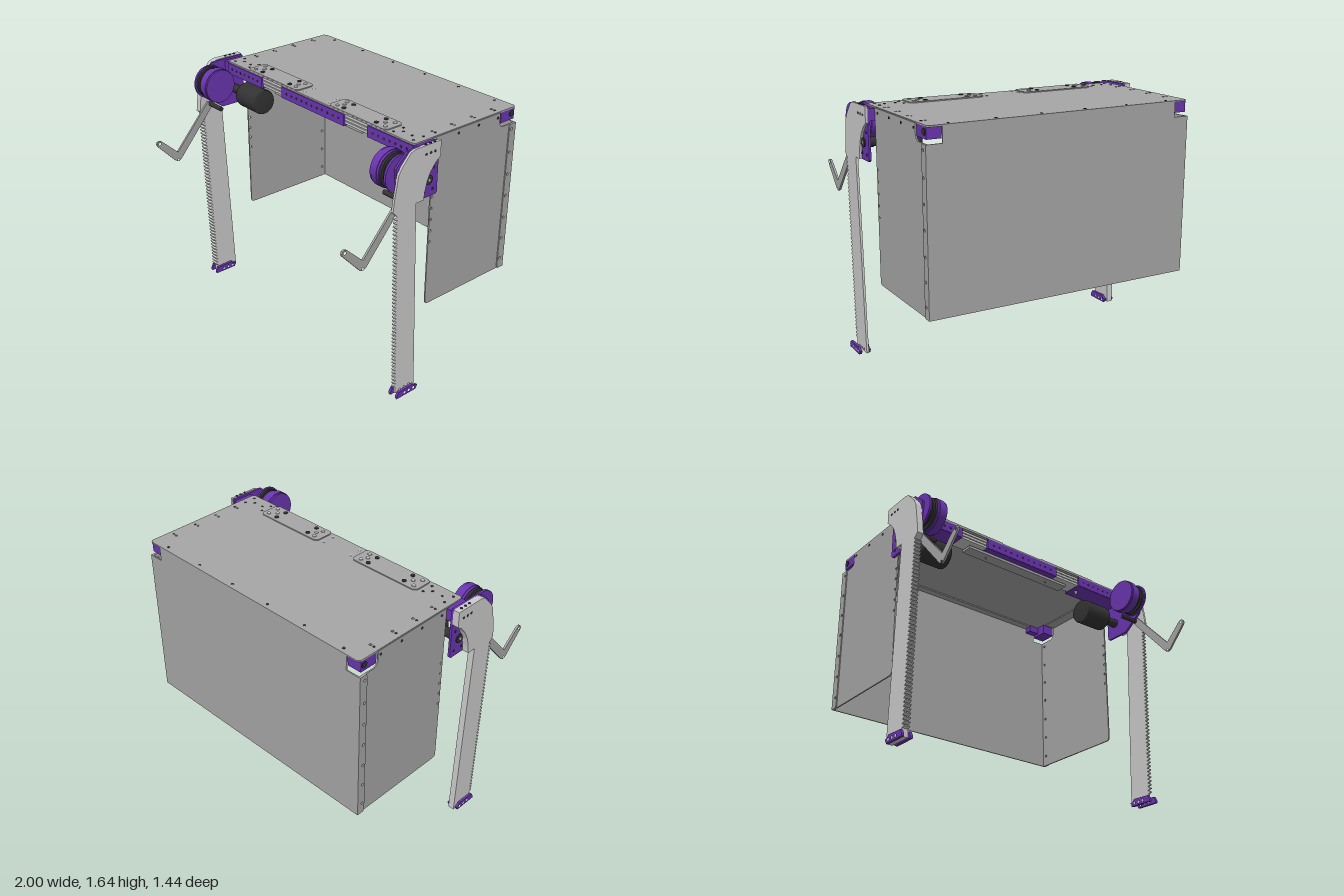
import * as THREE from 'three';

const mat = (color) => new THREE.MeshStandardMaterial({ color });
const GREY = mat(0xcccccc), SHEET = mat(0xa6a6a6), PURPLE = mat(0x6a35b0), BLACK = mat(0x333333);

// Closed outline from points, with optional round holes [u, v, r]
function outline(points, holes = []) {
  const shape = new THREE.Shape(points.map(([u, v]) => new THREE.Vector2(u, v)));
  for (const [u, v, r] of holes) {
    const path = new THREE.Path();
    path.absarc(u, v, r, 0, Math.PI * 2, true);
    shape.holes.push(path);
  }
  return shape;
}

// Corner points of a rectangle with every corner cut by c
function chamfered(u0, v0, u1, v1, c) {
  return [[u0 + c, v0], [u1 - c, v0], [u1, v0 + c], [u1, v1 - c], [u1 - c, v1], [u0 + c, v1], [u0, v1 - c], [u0, v0 + c]];
}

function add(parent, name, geometry, material) {
  const mesh = new THREE.Mesh(geometry, material);
  mesh.name = name;
  parent.add(mesh);
  return mesh;
}

// Box given by its limits
function box(parent, name, material, x0, x1, y0, y1, z0, z1) {
  const g = new THREE.BoxGeometry(Math.abs(x1 - x0), y1 - y0, z1 - z0);
  return add(parent, name, g.translate((x0 + x1) / 2, (y0 + y1) / 2, (z0 + z1) / 2), material);
}

// Plate drawn in (z, y) filling x0..x1
function sidePlate(parent, name, material, shape, x0, x1) {
  const g = new THREE.ExtrudeGeometry(shape, { depth: Math.abs(x1 - x0), bevelEnabled: false, curveSegments: 8 });
  return add(parent, name, g.rotateY(-Math.PI / 2).translate(Math.max(x0, x1), 0, 0), material);
}

// Plate drawn in (x, z) filling y0..y1
function flatPlate(parent, name, material, shape, y0, y1) {
  const g = new THREE.ExtrudeGeometry(shape, { depth: y1 - y0, bevelEnabled: false, curveSegments: 8 });
  return add(parent, name, g.rotateX(Math.PI / 2).translate(0, y1, 0), material);
}

// Cylinder along x
function drum(parent, name, material, x0, x1, y, z, r) {
  const g = new THREE.CylinderGeometry(r, r, Math.abs(x1 - x0), r > 0.05 ? 40 : 14);
  return add(parent, name, g.rotateZ(Math.PI / 2).translate((x0 + x1) / 2, y, z), material);
}

// Upright bolt head
function bolt(parent, material, x, y, z, r, h = 0.008) {
  return add(parent, 'bolt', new THREE.CylinderGeometry(r, r, h, 12).translate(x, y, z), material);
}

// Rack leg outline: curved head, toothed front edge, slanted back
function legShape() {
  const pts = [[0, 1.64], [0, 1.54], [0.035, 1.515], [0.075, 1.465], [0.1, 1.41], [0.115, 1.35], [0.12, 1.3], [0.18, 1.3], [0.13, 0.01], [0.29, 0.01]];
  const teeth = 47;
  for (let i = 0; i < teeth; i++) {
    const y = 0.06 + i * 0.0257, root = 0.29 + 0.036 * i / teeth;
    pts.push([root, y], [root + 0.02, y + 0.008], [root + 0.02, y + 0.015], [root, y + 0.022]);
  }
  pts.push([0.36, 1.3], [0.35, 1.38], [0.325, 1.52], [0.3, 1.56], [0.235, 1.63], [0.2, 1.64]);
  return outline(pts, FOOT_HOLES);
}

const FOOT_HOLES = [[0.25, 0.022, 0.009], [0.213, 0.022, 0.009], [0.175, 0.022, 0.009]];

function buildLeg(s, thick) {
  const leg = new THREE.Group();
  leg.name = s > 0 ? 'leftLeg' : 'rightLeg';
  const outer = thick ? 0.985 : 0.958;
  sidePlate(leg, 'toothedLeg', GREY, legShape(), s * 0.943, s * outer);

  // Foot cheeks
  const foot = outline([[0.315, 0.002], [0.155, 0.002], [0.14, 0.028], [0.16, 0.034], [0.175, 0.05], [0.3, 0.046], [0.315, 0.018]], FOOT_HOLES);
  for (const [a, b] of [[0.925, 0.943], [0.983, 1]]) sidePlate(leg, 'footCheek', PURPLE, foot, s * a, s * b);

  // Bracket behind the head
  const bracket = [[0, 1.31], [0.01, 1.3], [0.18, 1.3], [0.32, 1.4], [0.335, 1.55], [0.31, 1.58], [0.245, 1.635], [0.01, 1.64], [0, 1.63]];
  sidePlate(leg, 'bracket', PURPLE, outline(bracket), s * 0.928, s * 0.943);
  box(leg, 'bracketBlock', PURPLE, s * 0.885, s * 0.928, 1.55, 1.625, 0.005, 0.145);
  for (const [z, y] of [[0.035, 1.475], [0.035, 1.34], [0.105, 1.34]]) drum(leg, 'bolt', BLACK, s * 0.94, s * 0.946, y, z, 0.009);
  drum(leg, 'axleCap', BLACK, s * 0.93, s * 0.95, 1.41, 0.075, 0.03);
  drum(leg, 'axleEnd', GREY, s * 0.94, s * 0.953, 1.41, 0.075, 0.009);
  for (const z of [0.045, 0.08, 0.115]) {
    drum(leg, 'bolt', BLACK, s * outer, s * (outer + 0.002), 1.585, z, 0.008);
    bolt(leg, BLACK, s * (0.943 + outer) / 2, 1.641, z, 0.008, 0.006);
  }

  // Pulley with its drum housing
  drum(leg, 'drumHousing', PURPLE, s * 0.795, s * 0.865, 1.51, 0.28, 0.112);
  drum(leg, 'drumLip', PURPLE, s * 0.808, s * 0.85, 1.51, 0.28, 0.116);
  for (const [a, b, r] of [[0.867, 0.882, 0.108], [0.882, 0.9, 0.09], [0.9, 0.915, 0.108]]) drum(leg, 'pulley', BLACK, s * a, s * b, 1.51, 0.28, r);
  drum(leg, 'pulleyPlate', PURPLE, s * 0.915, s * 0.93, 1.51, 0.285, 0.114);

  // Motor with rounded ends
  const profile = [[0, -0.11], [0.07, -0.11], [0.082, -0.1], [0.085, -0.085], [0.085, 0.1], [0.08, 0.11], [0, 0.11]];
  const body = new THREE.LatheGeometry(profile.map(([r, h]) => new THREE.Vector2(r, h)), 32);
  add(leg, 'motor', body.rotateZ(s * Math.PI / 2).translate(s * 0.7, 1.405, 0.075), BLACK);
  drum(leg, 'motorShaft', BLACK, s * 0.81, s * 0.93, 1.41, 0.075, 0.03);
  drum(leg, 'leverShaft', BLACK, s * 0.8, s * 0.943, 1.345, 0.28, 0.015);

  // Bent lever
  const lever = [[0.27, 1.325], [0.3, 1.365], [0.565, 1.068], [0.682, 1.178], [0.7, 1.186], [0.716, 1.18], [0.722, 1.165], [0.717, 1.15], [0.587, 1.01], [0.565, 1], [0.543, 1.01]];
  sidePlate(leg, 'lever', SHEET, outline(lever, [[0.7, 1.166, 0.009], [0.565, 1.012, 0.007]]), s * 0.929, s * 0.943);
  return leg;
}

function buildSide(s) {
  const side = new THREE.Group();
  side.name = s > 0 ? 'leftSide' : 'rightSide';
  const flangeHoles = [0.585, 0.735, 0.885, 1.04, 1.19, 1.34, 1.495].map((y) => [-0.677, y, 0.009]);

  // Side sheet with the rear top corner notched
  const sheet = [[-0.71, 0.512], [-0.025, 0.512], [-0.006, 0.518], [0, 0.537], [0, 1.628], [-0.57, 1.628], [-0.57, 1.56], [-0.58, 1.54], [-0.6, 1.53], [-0.71, 1.53]];
  const frontHoles = [0.95, 1.025, 1.1, 1.175, 1.25].map((y) => [-0.013, y, 0.008]);
  sidePlate(side, 'sideSheet', SHEET, outline(sheet, [...flangeHoles, ...frontHoles]), s * 0.887, s * 0.896);
  sidePlate(side, 'sideFlange', SHEET, outline([[-0.712, 0.512], [-0.665, 0.512], [-0.658, 0.53], [-0.658, 1.515], [-0.665, 1.53], [-0.712, 1.53]], flangeHoles), s * 0.896, s * 0.903);
  box(side, 'topFlange', SHEET, s * 0.81, s * 0.89, 1.615, 1.625, -0.565, 0);
  for (const z of [-0.04, -0.21, -0.38, -0.55]) drum(side, 'bolt', BLACK, s * 0.89, s * 0.899, 1.6, z, 0.008);

  // Corner bracket with its roller
  box(side, 'cornerBracket', PURPLE, s * 0.8, s * 0.892, 1.555, 1.626, -0.7, -0.58);
  box(side, 'cornerArm', PURPLE, s * 0.72, s * 0.8, 1.575, 1.626, -0.7, -0.65);
  drum(side, 'roller', BLACK, s * 0.88, s * 0.897, 1.595, -0.675, 0.02);
  return side;
}

export function createModel() {
  const model = new THREE.Group();
  model.name = 'desk';

  // Top sheet
  const topHoles = [];
  for (const s of [-1, 1]) for (const z of [-0.055, -0.215, -0.385, -0.56]) topHoles.push([s * 0.83, z, 0.008]);
  flatPlate(model, 'topSheet', SHEET, outline(chamfered(-0.892, -0.715, 0.892, 0.148, 0.015), topHoles), 1.624, 1.634);

  // Back sheet with notched top corners
  const back = [[-0.903, 0.512], [0.903, 0.512], [0.903, 1.53], [0.8, 1.53], [0.8, 1.626], [-0.8, 1.626], [-0.8, 1.53], [-0.903, 1.53]];
  const backGeo = new THREE.ExtrudeGeometry(outline(back), { depth: 0.008, bevelEnabled: false });
  add(model, 'backSheet', backGeo.translate(0, 0, -0.714), SHEET);
  box(model, 'backFlange', SHEET, -0.72, 0.72, 1.615, 1.625, -0.706, -0.655);
  for (const x of [-0.75, -0.45, -0.15, 0.15, 0.45, 0.75]) bolt(model, BLACK, x, 1.633, -0.682, 0.009, 0.006);

  // Front rails and purple channels
  for (const y of [1.565, 1.587, 1.609]) box(model, 'slideRail', GREY, -0.8, 0.8, y - 0.008, y + 0.008, 0.02, 0.135);
  box(model, 'lowerRail', SHEET, -0.42, 0.42, 1.527, 1.545, 0.03, 0.11);
  for (const [a, b] of [[-0.885, -0.51], [-0.3, 0.3], [0.51, 0.885]]) {
    box(model, 'channelFront', PURPLE, a, b, 1.55, 1.622, 0.138, 0.152);
    box(model, 'channelBottom', PURPLE, a, b, 1.547, 1.555, 0.005, 0.15);
    box(model, 'channelBack', PURPLE, a, b, 1.55, 1.622, 0.002, 0.012);
    const n = Math.round((b - a) / 0.05);
    for (let i = 1; i < n; i++) {
      const dot = new THREE.CylinderGeometry(0.008, 0.008, 0.004, 10).rotateX(Math.PI / 2);
      add(model, 'channelHole', dot.translate(a + (b - a) * i / n, 1.586, 0.152), BLACK);
    }
  }

  for (const s of [-1, 1]) {
    model.add(buildLeg(s, s < 0), buildSide(s));

    // Clamp plate on top and its bolts
    const [a, b] = s > 0 ? [0.15, 0.66] : [-0.66, -0.15];
    flatPlate(model, 'clampPlate', SHEET, outline(chamfered(a, 0.002, b, 0.147, 0.02)), 1.634, 1.641);
    for (const z of [0.035, 0.113]) {
      for (const x of [0.26, 0.545]) bolt(model, BLACK, s * x, 1.642, z, 0.014);
      for (const x of [0.2, 0.62]) bolt(model, GREY, s * x, 1.642, z, 0.013);
      for (const x of [0.115, 0.69, 0.85]) bolt(model, x < 0.2 ? GREY : BLACK, s * x, 1.634, z, 0.009, 0.004);
    }
    for (const x of [0.22, 0.58]) bolt(model, GREY, s * x, 1.642, 0.074, 0.013);
    for (const x of [0.73, 0.8]) bolt(model, BLACK, s * x, 1.634, 0.074, 0.009, 0.004);
    for (const z of [-0.055, -0.215, -0.385, -0.56]) bolt(model, BLACK, s * 0.856, 1.634, z, 0.008, 0.004);

    // Pointed screw ends below the rail
    for (const x of [0.26, 0.55]) add(model, 'screwTip', new THREE.ConeGeometry(0.014, 0.035, 10).rotateX(Math.PI).translate(s * x, 1.53, 0.075), GREY);
  }
  return model;
}
